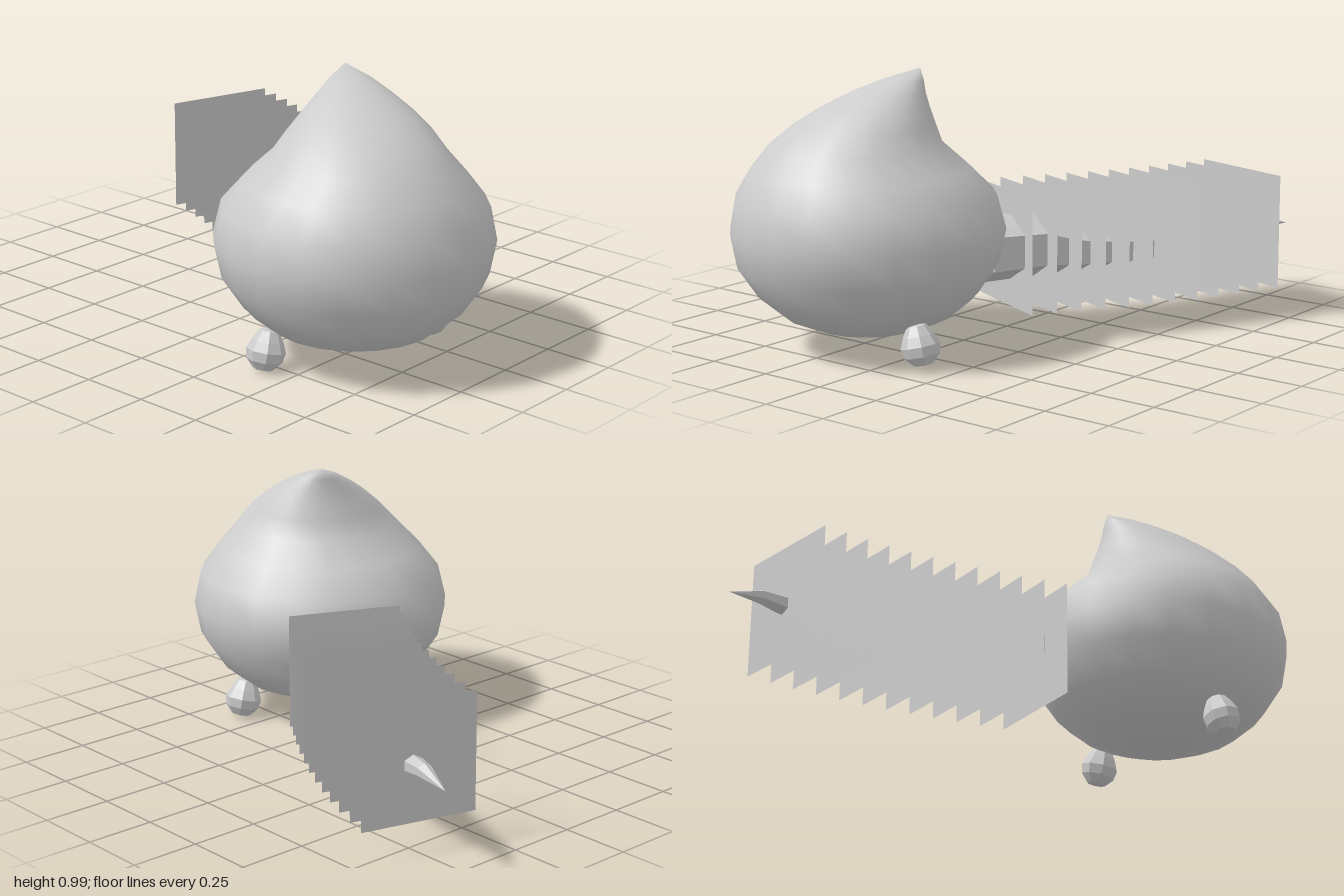
import * as THREE from 'three';

const smooth = new THREE.MeshStandardMaterial({ color: 0xcccccc });
const faceted = new THREE.MeshStandardMaterial({ color: 0xcccccc, flatShading: true });
const sheet = new THREE.MeshStandardMaterial({ color: 0xcccccc, side: THREE.DoubleSide });

// Closed loft through rings of equal length, with a point at each end
function loft(start, rings, end) {
  const n = rings[0].length;
  const points = [start, ...rings.flat(), end];
  const last = points.length - 1;
  const index = [];
  for (let j = 0; j < n; j++) {
    const k = (j + 1) % n;
    index.push(0, 1 + k, 1 + j);
    for (let i = 0; i < rings.length - 1; i++) {
      const a = 1 + i * n + j, b = 1 + i * n + k;
      index.push(a, b, a + n, b, b + n, a + n);
    }
    const base = 1 + (rings.length - 1) * n;
    index.push(base + j, base + k, last);
  }
  const geometry = new THREE.BufferGeometry().setFromPoints(points);
  geometry.setIndex(index);
  geometry.computeVertexNormals();
  return geometry;
}

function add(group, name, geometry, material) {
  const mesh = new THREE.Mesh(geometry, material);
  mesh.name = name;
  group.add(mesh);
  return mesh;
}

// Round body whose upper rings drift towards a leaning tip: [y, radius, x, z]
function bodyGeometry() {
  const rows = [
    [0.08, 0.19, -0.22, 0.51], [0.125, 0.3, -0.22, 0.51], [0.2, 0.39, -0.22, 0.51],
    [0.31, 0.463, -0.22, 0.51], [0.43, 0.487, -0.22, 0.508], [0.55, 0.46, -0.222, 0.513],
    [0.645, 0.385, -0.233, 0.53], [0.73, 0.305, -0.237, 0.545], [0.8, 0.25, -0.215, 0.525],
    [0.86, 0.19, -0.19, 0.495], [0.91, 0.13, -0.163, 0.457], [0.95, 0.075, -0.135, 0.415],
  ];
  const rings = rows.map(([y, r, x, z]) => Array.from({ length: 20 }, (_, j) => {
    const a = -j / 20 * Math.PI * 2;
    return new THREE.Vector3(x + r * Math.cos(a), y, z + r * Math.sin(a));
  }));
  return loft(new THREE.Vector3(-0.22, 0.04, 0.51), rings, new THREE.Vector3(-0.1, 0.99, 0.36));
}

// Tapering six-sided tail: [x, y, z, half width, half height]
function tailGeometry() {
  const rows = [
    [0.03, 0.33, 0.18, 0.14, 0.125], [0.14, 0.33, 0, 0.115, 0.115], [0.2, 0.305, -0.11, 0.1, 0.09],
    [0.285, 0.29, -0.265, 0.085, 0.072], [0.36, 0.285, -0.41, 0.073, 0.062],
    [0.435, 0.29, -0.57, 0.06, 0.05], [0.503, 0.31, -0.74, 0.046, 0.04],
    [0.545, 0.322, -0.87, 0.028, 0.027],
  ];
  const side = new THREE.Vector3(0.87, 0, 0.49);
  const rings = rows.map(([x, y, z, w, h]) => Array.from({ length: 6 }, (_, j) => {
    const a = (j + 0.5) / 6 * Math.PI * 2;
    return new THREE.Vector3(x, y + h * Math.sin(a), z).addScaledVector(side, -w * Math.cos(a));
  }));
  return loft(new THREE.Vector3(-0.02, 0.33, 0.27), rings, new THREE.Vector3(0.577, 0.3, -1));
}

export function createModel() {
  const group = new THREE.Group();
  add(group, 'body', bodyGeometry(), smooth);
  add(group, 'tail', tailGeometry(), faceted);

  // Rounded feet, narrowing upward into the body
  const profile = [[0, 0], [0.035, 0.005], [0.062, 0.035], [0.069, 0.07], [0.055, 0.105], [0.035, 0.14], [0, 0.15]]
    .map(([r, y]) => new THREE.Vector2(r, y));
  for (const [name, x, z, tilt] of [['leftFoot', 0.115, 0.6, 0.25], ['rightFoot', -0.557, 0.39, -0.25]]) {
    const foot = add(group, name, new THREE.LatheGeometry(profile, 8), faceted);
    foot.position.set(x, 0.005, z);
    foot.rotation.z = tilt;
  }

  // Row of thin upright panels threaded along the tail
  const path = new THREE.CatmullRomCurve3([
    [0.045, 0.07], [0.18, -0.13], [0.31, -0.35], [0.42, -0.58], [0.498, -0.797],
  ].map(([x, z]) => new THREE.Vector3(x, 0.323, z)));
  const panels = new THREE.Group();
  panels.name = 'tailPanels';
  group.add(panels);
  const count = 12;
  for (let i = 0; i < count; i++) {
    const t = i / (count - 1);
    const panel = add(panels, 'tailPanel', new THREE.PlaneGeometry(0.425, 0.425), sheet);
    panel.position.copy(path.getPointAt(t));
    panel.rotation.y = -THREE.MathUtils.degToRad(THREE.MathUtils.lerp(24, 15.5, t));
  }
  return group;
}
